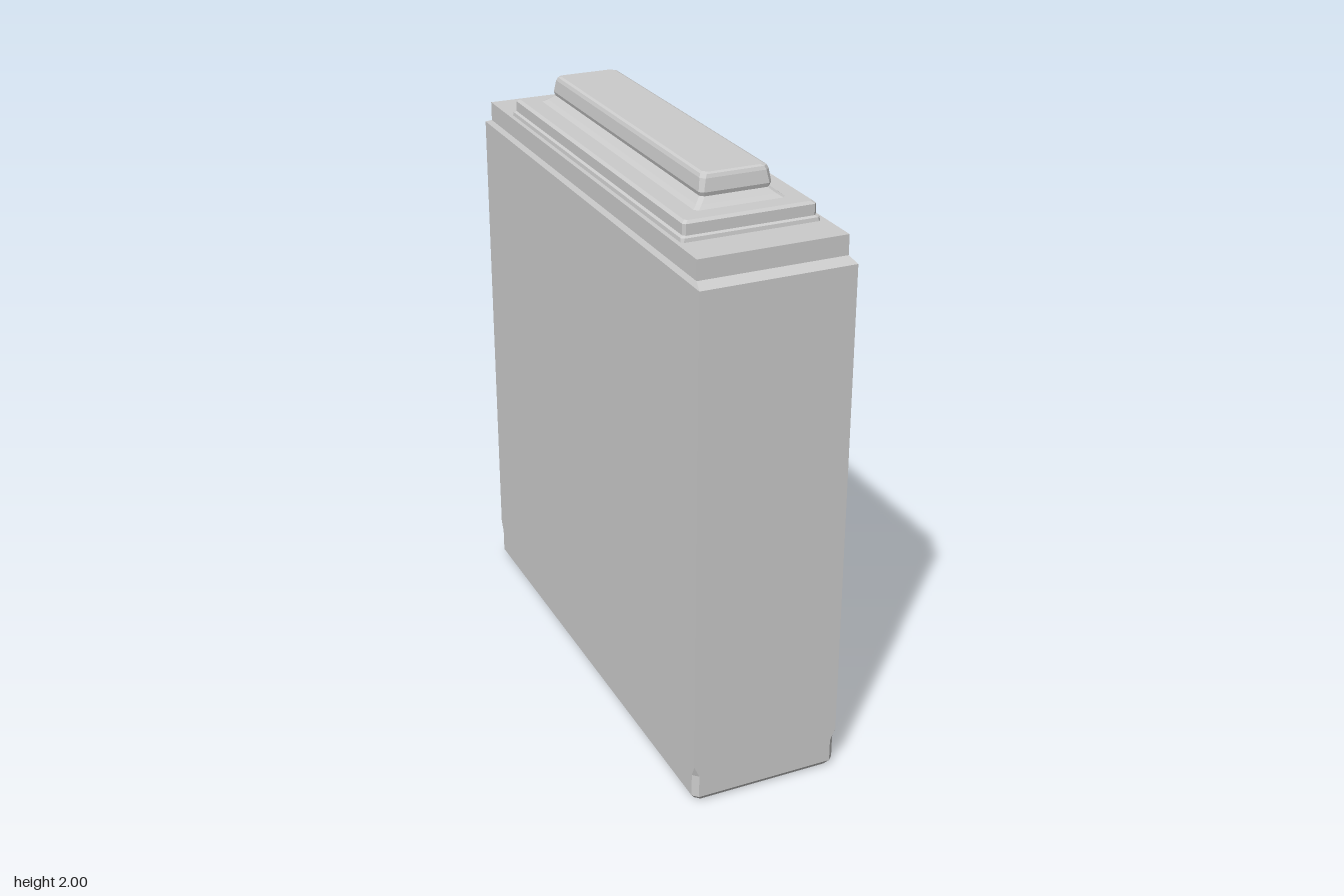
import * as THREE from 'three';

const material = new THREE.MeshStandardMaterial({ color: 0xcccccc, flatShading: true });

// Eight-point rectangular loop with cut corners, at height h along the loft axis
function ring(h, a0, a1, b0, b1, c = 0) {
  return [
    [a1, h, b1 - c], [a1, h, b0 + c], [a1 - c, h, b0], [a0 + c, h, b0],
    [a0, h, b0 + c], [a0, h, b1 - c], [a0 + c, h, b1], [a1 - c, h, b1],
  ];
}

// Joins loops into a skin. axis 'y': a = x, b = z. axis 'x': a = z, b = y.
function loft(name, rings, { axis = 'y', capStart = false, capEnd = true, openSpan = -1 } = {}) {
  const pos = [];
  const vec = ([a, h, b]) => (axis === 'y' ? new THREE.Vector3(a, h, b) : new THREE.Vector3(h, b, a));
  const loops = rings.map((r) => r.map(vec));
  const tri = (p, q, r) => {
    const area = q.clone().sub(p).cross(r.clone().sub(p)).length();
    if (area > 1e-8) for (const v of [p, q, r]) pos.push(v.x, v.y, v.z);
  };
  for (let k = 0; k + 1 < loops.length; k++) {
    const lo = loops[k], hi = loops[k + 1];
    for (let i = 0; i < 8; i++) {
      if (k === openSpan && i === 0) continue; // the panelled face fills this gap
      const j = (i + 1) % 8;
      tri(lo[i], lo[j], hi[j]);
      tri(lo[i], hi[j], hi[i]);
    }
  }
  const first = loops[0], last = loops[loops.length - 1];
  for (let i = 1; i < 7; i++) {
    if (capStart) tri(first[0], first[i + 1], first[i]);
    if (capEnd) tri(last[0], last[i], last[i + 1]);
  }
  const geometry = new THREE.BufferGeometry();
  geometry.setAttribute('position', new THREE.Float32BufferAttribute(pos, 3));
  geometry.computeVertexNormals();
  const mesh = new THREE.Mesh(geometry, material);
  mesh.name = name;
  return mesh;
}

const X0 = -0.27, X1 = 0.24, Z = 0.88;
const FACE_BOTTOM = 0.14, FACE_TOP = 1.765;

// Sunken panels: [z0, z1, y0, y1]
const panels = [
  [-0.68, 0.725, 0.605, 0.97], [-0.675, 0.72, 0.185, 0.525],
  [0.78, 0.865, 1.025, 1.66], [0.785, 0.865, 0.59, 0.985], [0.775, 0.87, 0.16, 0.55],
  [-0.85, -0.745, 1.035, 1.65], [-0.855, -0.735, 0.59, 0.985], [-0.85, -0.74, 0.17, 0.545],
];
const opening = [-0.67, 0.717, 1.06, 1.635];

function rectPath(path, [z0, z1, y0, y1]) {
  path.moveTo(-z1, y0).lineTo(-z0, y0).lineTo(-z0, y1).lineTo(-z1, y1).closePath();
  return path;
}

export function createModel() {
  const group = new THREE.Group();

  // Main block with cut lower corners and a sloped top edge
  group.add(loft('body', [
    ring(0, X0 + 0.015, X1 - 0.015, -Z + 0.015, Z - 0.015, 0.015),
    ring(0.02, X0, X1, -Z, Z, 0.018),
    ring(0.1, X0, X1, -Z, Z, 0.018),
    ring(FACE_BOTTOM, X0, X1, -Z, Z),
    ring(FACE_TOP, X0, X1, -Z, Z),
    ring(1.78, X0 + 0.01, X1 - 0.01, -0.84, 0.84),
  ], { capStart: true, openSpan: 3 }));

  // Panelled face with its cutouts
  const shape = rectPath(new THREE.Shape(), [-Z, Z, FACE_BOTTOM, FACE_TOP]);
  shape.holes = [opening, ...panels].map((r) => rectPath(new THREE.Path(), r));
  const face = new THREE.Mesh(new THREE.ShapeGeometry(shape).rotateY(Math.PI / 2), material);
  face.position.x = X1;
  face.name = 'panelFace';
  group.add(face);

  // Shallow recesses
  panels.forEach((p, i) => group.add(loft(`sunkenPanel${i + 1}`,
    [ring(X1, ...p), ring(X1 - 0.02, ...p)], { axis: 'x' })));

  // Raised moulding running into the deep upper recess
  const frameRing = (h, inset, c) => ring(h, -0.715 + inset, 0.76 - inset, 1.01 + inset, 1.68 - inset, c);
  group.add(loft('framedRecess', [
    frameRing(X1, 0, 0.008),
    frameRing(0.256, 0, 0.008),
    frameRing(0.265, 0.012, 0.008),
    frameRing(0.265, 0.018, 0.008),
    frameRing(0.254, 0.038, 0.012),
    ring(0.244, ...opening, 0.015),
    ring(0.18, ...opening, 0.015),
  ], { axis: 'x' }));

  // Stepped top
  group.add(loft('topSlab', [
    ring(1.78, -0.26, 0.23, -0.84, 0.84),
    ring(1.845, -0.26, 0.23, -0.84, 0.84),
  ]));

  const stepRing = (y, d, c) => ring(y, -0.235 - d, 0.2 + d, -0.658 - d, 0.698 + d, c);
  group.add(loft('middleStep', [
    stepRing(1.845, 0.01, 0.008),
    stepRing(1.857, 0.008, 0.008),
    stepRing(1.862, 0, 0.008),
    stepRing(1.897, 0, 0.008),
    stepRing(1.905, -0.01, 0.008),
  ]));

  const capRing = (y, d, c) => ring(y, -0.13 + d, 0.1 - d, -0.56 + d, 0.595 - d, c);
  group.add(loft('topCap', [
    capRing(1.905, -0.035, 0.012),
    capRing(1.915, -0.02, 0.012),
    capRing(1.932, 0, 0.012),
    capRing(1.945, -0.004, 0.012),
    capRing(1.985, 0.002, 0.014),
    capRing(1.996, 0.007, 0.014),
    capRing(2, 0.016, 0.014),
  ]));

  return group;
}
